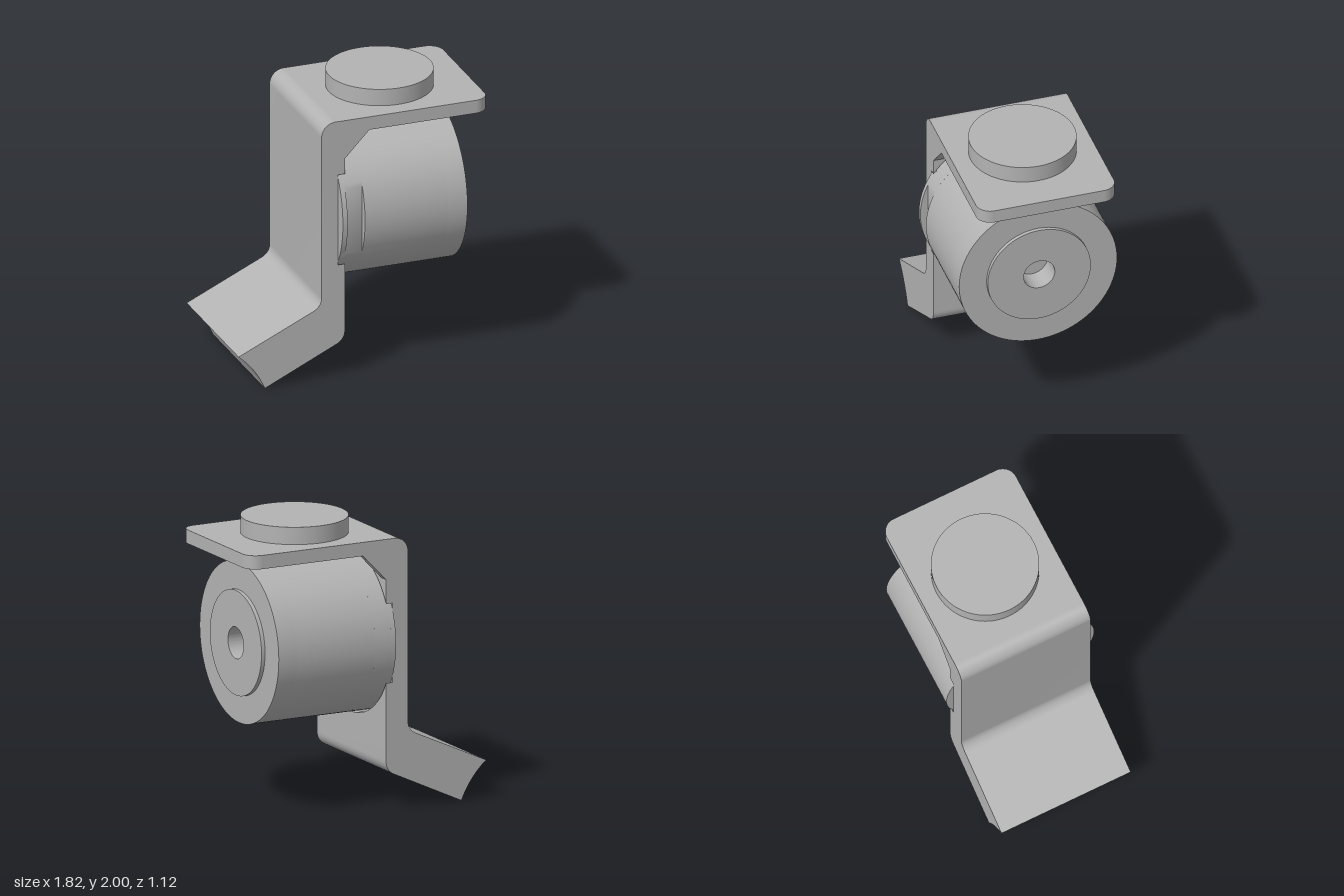
import * as THREE from 'three';
import { mergeGeometries, toCreasedNormals } from 'three/addons/utils/BufferGeometryUtils.js';

const Z0 = -0.505, Z1 = 0.47;   // bracket back and front sides
const AXIS_Y = 1.157;           // height of the motor axis

const extrude = (shape, depth) =>
  new THREE.ExtrudeGeometry(shape, { depth, bevelEnabled: false, curveSegments: 48 });
const polygon = (pts) => new THREE.Shape(pts.map(([x, y]) => new THREE.Vector2(x, y)));

// Extrudes a (-z, y) outline along x, from x0 to x1
const alongX = (shape, x0, x1) => extrude(shape, x1 - x0).rotateY(Math.PI / 2).translate(x0, 0, 0);

// Round outline, optionally with a centre hole or one flat side facing +z
function disc(r, hole = 0, flat = 0) {
  const s = new THREE.Shape();
  const a = flat ? Math.acos(flat / r) : 0;
  s.absarc(0, AXIS_Y, r, -Math.PI + a, Math.PI - a, false);
  if (hole) s.holes.push(new THREE.Path().absarc(0, AXIS_Y, hole, 0, Math.PI * 2, true));
  return s;
}

export function createModel() {
  const model = new THREE.Group();
  const grey = new THREE.MeshStandardMaterial({ color: 0xb3b3b3 });
  grey.name = 'plain grey';
  const add = (name, geometry) => {
    const mesh = new THREE.Mesh(toCreasedNormals(geometry, 0.5), grey);
    mesh.name = name;
    model.add(mesh);
  };

  // Bent strap: top flange, upright wall and angled foot with a concave end
  const strap = new THREE.Shape();
  strap.moveTo(0.6, 1.88);
  strap.lineTo(-0.21, 1.88);
  strap.absarc(-0.21, 1.78, 0.1, Math.PI / 2, Math.PI, false);
  strap.lineTo(-0.31, 0.6);
  strap.quadraticCurveTo(-0.31, 0.54, -0.37, 0.51);
  strap.lineTo(-0.91, 0.26);
  strap.quadraticCurveTo(-0.785, 0.155, -0.72, 0);
  strap.lineTo(-0.2, 0.245);
  strap.quadraticCurveTo(-0.142, 0.275, -0.142, 0.34);
  strap.lineTo(-0.142, 0.55);
  strap.lineTo(-0.19, 0.55);
  strap.lineTo(-0.19, 1.75);
  strap.lineTo(-0.142, 1.75);
  strap.lineTo(-0.142, 1.785);
  strap.lineTo(0.6, 1.785);
  add('bracketStrap', extrude(strap, Z1 - Z0).translate(0, 0, Z0));

  // Rounded end of the top flange
  const tip = new THREE.Shape();
  tip.moveTo(0.6, Z0);
  tip.lineTo(0.805, Z0);
  tip.absarc(0.805, Z0 + 0.1, 0.1, -Math.PI / 2, 0, false);
  tip.lineTo(0.905, Z1 - 0.1);
  tip.absarc(0.805, Z1 - 0.1, 0.1, 0, Math.PI / 2, false);
  tip.lineTo(0.6, Z1);
  add('flangeTip', extrude(tip, 0.095).rotateX(Math.PI / 2).translate(0, 1.88, 0));

  // Wall facing around the round motor pocket, above and below it
  const R = 0.575;
  const aFront = Math.acos(Z1 / R), aBack = Math.acos(-Z0 / R);
  const pocket = [1, -1].map((up) => {
    const s = new THREE.Shape();
    const edge = up > 0 ? 1.75 : 0.55;
    s.moveTo(-Z1, edge);
    s.lineTo(-Z0, edge);
    s.absarc(0, AXIS_Y, R, up * aBack, up * (Math.PI - aFront), up < 0);
    return alongX(s, -0.19, -0.142);
  });
  add('pocketWall', mergeGeometries(pocket));

  // Corner gussets under the flange
  const gusset = polygon([[-0.142, 1.6], [0.035, 1.785], [-0.142, 1.785]]);
  add('frontGusset', extrude(gusset, 0.07).translate(0, 0, Z1 - 0.07));
  add('backGusset', extrude(gusset, 0.07).translate(0, 0, Z0));

  // Round pad on the flange
  add('topPad', new THREE.CylinderGeometry(0.365, 0.365, 0.12, 96).translate(0.297, 1.94, -0.02));

  // Motor: body with a side slot and a bored front end
  add('motorBody', mergeGeometries([
    alongX(disc(0.558), -0.19, -0.155),
    alongX(disc(0.558, 0, 0.505), -0.155, -0.03),
    alongX(disc(0.558), -0.03, 0.57),
    alongX(disc(0.558, 0.11), 0.57, 0.71),
  ]));
  add('motorBoss', alongX(disc(0.364, 0.11), 0.71, 0.737));

  return model;
}
